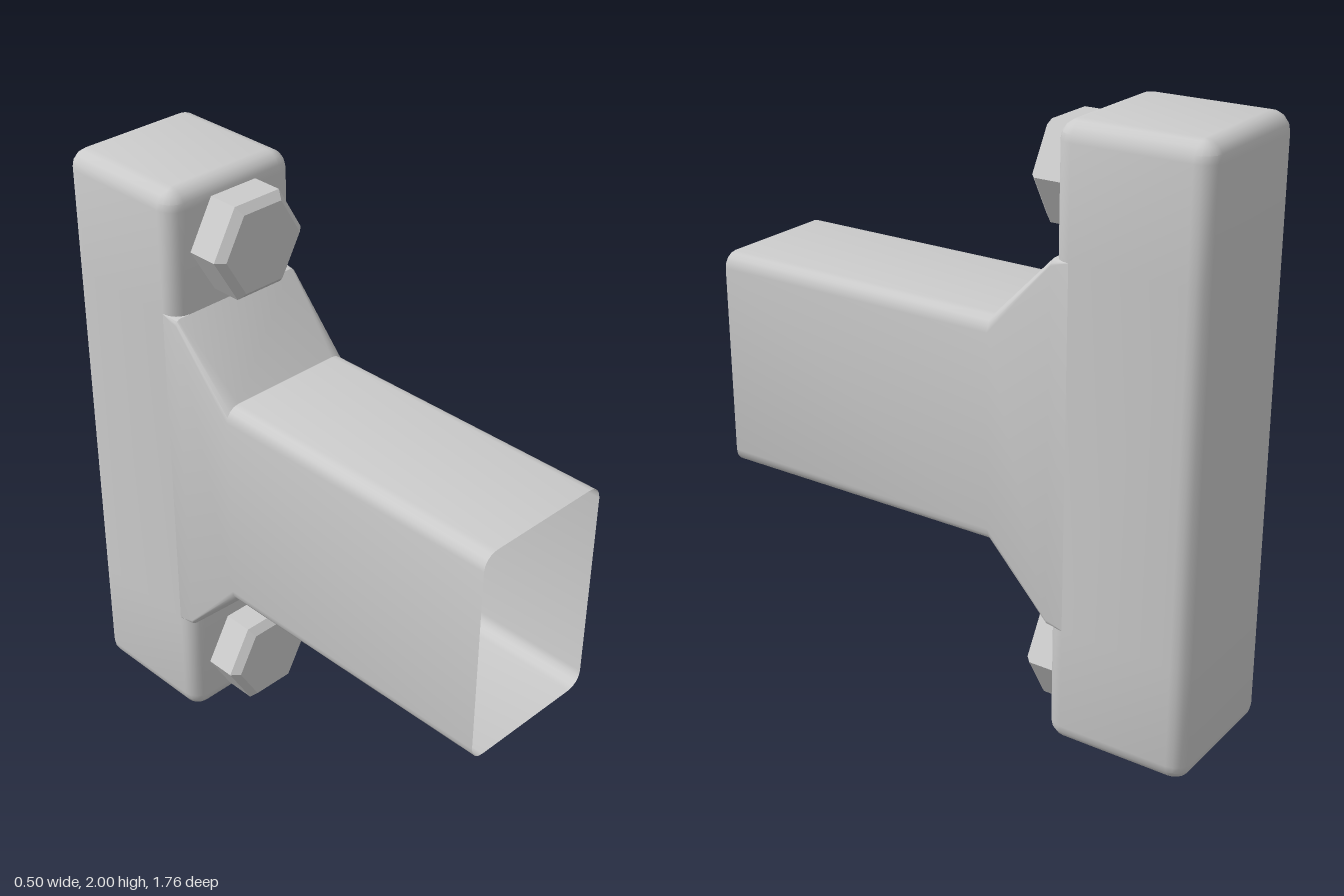
import * as THREE from 'three';
import { toCreasedNormals } from 'three/addons/utils/BufferGeometryUtils.js';

const ARC = 4; // segments per rounded corner

// Counter-clockwise rounded rectangle, starting at its lower right corner
function roundedRect(w, h, r) {
  const pts = [];
  [[1, -1], [1, 1], [-1, 1], [-1, -1]].forEach(([sx, sy], k) => {
    for (let i = 0; i <= ARC; i++) {
      const a = (k - 1 + i / ARC) * Math.PI / 2;
      pts.push([sx * (w - r) + r * Math.cos(a), sy * (h - r) + r * Math.sin(a)]);
    }
  });
  return pts;
}

// Skin a list of rings of Vector3; keep(i, j) may leave out quads
function loft(rings, capped, keep = () => true) {
  const pos = [];
  const area = new THREE.Triangle();
  const tri = (a, b, c) => {
    if (area.set(a, b, c).getArea() > 1e-8) pos.push(...a, ...b, ...c);
  };
  const n = rings[0].length;
  for (let i = 0; i < rings.length - 1; i++) {
    for (let j = 0; j < n; j++) {
      if (!keep(i, j)) continue;
      const k = (j + 1) % n;
      tri(rings[i][j], rings[i][k], rings[i + 1][k]);
      tri(rings[i][j], rings[i + 1][k], rings[i + 1][j]);
    }
  }
  if (capped) {
    const first = rings[0], last = rings[rings.length - 1];
    for (let j = 1; j < n - 1; j++) {
      tri(first[0], first[j + 1], first[j]);
      tri(last[0], last[j], last[j + 1]);
    }
  }
  const g = new THREE.BufferGeometry();
  g.setAttribute('position', new THREE.Float32BufferAttribute(pos, 3));
  return toCreasedNormals(g, 0.5);
}

export function createModel() {
  const group = new THREE.Group();
  const material = new THREE.MeshStandardMaterial({ color: 0xcccccc, side: THREE.DoubleSide });
  const add = (name, geometry) => {
    const mesh = new THREE.Mesh(geometry, material);
    mesh.name = name;
    group.add(mesh);
    return mesh;
  };

  const W = 0.25, R = 0.06, plateZ = -0.63;
  const openLow = 0.405, openHigh = 1.595;

  // Upright mounting plate: rounded block, open at the front where the neck joins
  const rows = [];
  for (let i = 0; i <= ARC; i++) {
    const a = i / ARC * Math.PI / 2;
    rows.push([R * (1 - Math.cos(a)), R * (1 - Math.sin(a))]); // [y, inset]
  }
  const upper = rows.map(([y, inset]) => [2 - y, inset]).reverse();
  const openRow = rows.length;
  const allRows = [...rows, [openLow, 0], [openHigh, 0], ...upper];
  const plateRings = allRows.map(([y, inset]) =>
    roundedRect(W - inset, W - inset, R - inset)
      .map(([u, v]) => new THREE.Vector3(u, y, plateZ - v)));
  add('mountingPlate', loft(plateRings, true,
    (i, j) => i !== openRow || (j >= ARC && j < 3 * ARC + 3)));

  // Hollow neck: flared at the plate, open at the front end
  const neck = [ // [z, half height, corner radius]
    [-0.44, 0.595, 0.001], [-0.38, 0.595, 0.02], [-0.16, 0.375, 0.05], [0.88, 0.375, 0.05],
  ];
  add('neck', loft(neck.map(([z, h, r]) =>
    roundedRect(W, h, r).map(([u, v]) => new THREE.Vector3(u, 1 + v, z))), false));

  // Hexagonal bolt heads with a chamfered front edge
  const boltProfile = [[0, 0], [0.178, 0], [0.178, 0.105], [0.15, 0.13], [0, 0.13]]
    .map(([x, y]) => new THREE.Vector2(x, y));
  const boltGeometry = toCreasedNormals(
    new THREE.LatheGeometry(boltProfile, 6, Math.PI / 2).rotateX(Math.PI / 2), 0.3);
  for (const [name, y] of [['upperBolt', 1.8], ['lowerBolt', 0.2]]) {
    add(name, boltGeometry).position.set(0, y, -0.38);
  }

  return group;
}
